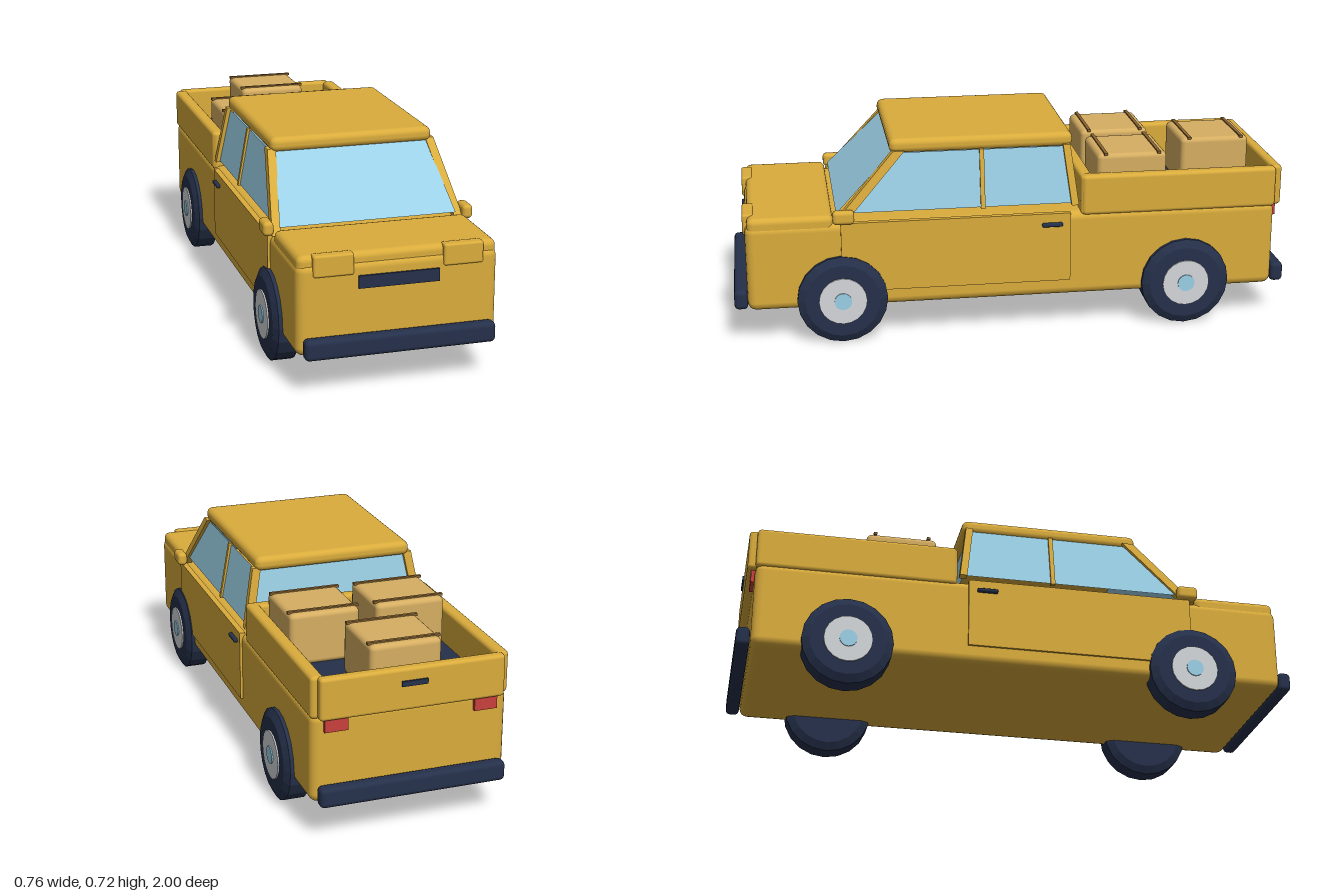
import * as THREE from 'three';
import { toCreasedNormals } from 'three/addons/utils/BufferGeometryUtils.js';
import { RoundedBoxGeometry } from 'three/addons/geometries/RoundedBoxGeometry.js';

const mat = (name, color) => {
  const m = new THREE.MeshStandardMaterial({ color });
  m.name = name;
  return m;
};

export function createModel() {
  const truck = new THREE.Group();
  truck.name = 'pickupTruck';
  const paint = mat('goldPaint', 0xdaac3c);
  const navy = mat('navyTrim', 0x25304a);
  const glass = mat('paleBlueGlass', 0x9bd0e6);
  glass.side = THREE.DoubleSide;
  const hubCol = mat('lightGreyHub', 0xd4d7da);
  const tan = mat('tanCrate', 0xd6ae62);
  const brown = mat('brownStrap', 0x8a6430);
  const red = mat('redLamp', 0xc8403c);

  const add = (name, geo, m, parent = truck) => {
    const mesh = new THREE.Mesh(geo, m);
    mesh.name = name;
    parent.add(mesh);
    return mesh;
  };
  // Box given by its limits, rounded when r > 0
  const box = (name, [x0, x1], [y0, y1], [z0, z1], m, r = 0, parent = truck) => {
    const s = [x1 - x0, y1 - y0, z1 - z0];
    const geo = r ? new RoundedBoxGeometry(...s, 2, r) : new THREE.BoxGeometry(...s);
    geo.translate((x0 + x1) / 2, (y0 + y1) / 2, (z0 + z1) / 2);
    return add(name, geo, m, parent);
  };
  const sideBox = (name, s, x, y, z, m, r) =>
    box(name, s > 0 ? x : [-x[1], -x[0]], y, z, m, r);
  // Leaning post with level ends, from a (bottom) to b (top)
  const post = (name, a, b, wx, wz) => {
    const h = b[1] - a[1];
    const geo = new THREE.BoxGeometry(wx, h, wz);
    const p = geo.attributes.position;
    for (let i = 0; i < p.count; i++) {
      const t = p.getY(i) / h + 0.5;
      p.setXYZ(i, p.getX(i) + a[0] + (b[0] - a[0]) * t, a[1] + h * t, p.getZ(i) + a[2] + (b[2] - a[2]) * t);
    }
    geo.computeVertexNormals();
    add(name, geo, paint);
  };
  // Flat four-cornered pane
  const pane = (name, a, b, c, d) => {
    const geo = new THREE.BufferGeometry();
    geo.setAttribute('position', new THREE.Float32BufferAttribute([...a, ...b, ...c, ...d], 3));
    geo.setIndex([0, 1, 2, 0, 2, 3]);
    geo.computeVertexNormals();
    add(name, geo, glass);
  };

  // Lower body, hood and roof
  box('lowerBody', [-0.342, 0.342], [0.125, 0.44], [-0.95, 0.953], paint, 0.03);
  box('hood', [-0.338, 0.338], [0.395, 0.466], [0.645, 0.945], paint, 0.022);
  box('roof', [-0.29, 0.29], [0.668, 0.72], [-0.212, 0.44], paint, 0.022);

  // Front and rear trim
  box('grille', [-0.137, 0.137], [0.347, 0.39], [0.945, 0.961], navy);
  box('frontBumper', [-0.325, 0.325], [0.127, 0.197], [0.952, 1], navy, 0.016);
  box('rearBumper', [-0.325, 0.325], [0.127, 0.197], [-1, -0.952], navy, 0.016);

  // Windscreen and rear window
  pane('windscreen', [-0.312, 0.465, 0.633], [0.312, 0.465, 0.633], [0.272, 0.672, 0.428], [-0.272, 0.672, 0.428]);
  pane('rearWindow', [0.312, 0.465, -0.215], [-0.312, 0.465, -0.215], [-0.272, 0.672, -0.187], [0.272, 0.672, -0.187]);

  // Load bed
  box('bedFloor', [-0.3, 0.3], [0.435, 0.446], [-0.95, -0.27], navy);
  box('bedFrontWall', [-0.338, 0.338], [0.425, 0.57], [-0.28, -0.236], paint, 0.012);
  box('tailgate', [-0.32, 0.32], [0.425, 0.572], [-0.977, -0.938], paint, 0.012);
  box('tailgateHandle', [-0.045, 0.045], [0.512, 0.53], [-0.984, -0.97], navy);

  // Parts mirrored left and right
  for (const s of [1, -1]) {
    const side = s > 0 ? 'left' : 'right';
    sideBox(side + 'BedWall', s, [0.296, 0.343], [0.425, 0.572], [-0.95, -0.24], paint, 0.014);
    sideBox(side + 'Door', s, [0.33, 0.351], [0.187, 0.441], [-0.197, 0.62], paint);
    sideBox(side + 'DoorHandle', s, [0.345, 0.364], [0.394, 0.408], [-0.167, -0.093], navy, 0.005);
    sideBox(side + 'Mirror', s, [0.334, 0.371], [0.441, 0.49], [0.572, 0.648], paint, 0.014);
    sideBox(side + 'Headlight', s, [0.152, 0.288], [0.395, 0.469], [0.92, 0.96], paint, 0.008);
    sideBox(side + 'TailLight', s, [0.22, 0.3], [0.38, 0.43], [-0.963, -0.94], red);
    post(side + 'FrontPillar', [s * 0.325, 0.44, 0.622], [s * 0.285, 0.68, 0.408], 0.03, 0.04);
    post(side + 'MiddlePillar', [s * 0.325, 0.465, 0.115], [s * 0.287, 0.675, 0.115], 0.016, 0.016);
    post(side + 'RearPillar', [s * 0.325, 0.465, -0.215], [s * 0.285, 0.68, -0.188], 0.03, 0.026);
    pane(side + 'SideWindow', [s * 0.325, 0.47, 0.6], [s * 0.325, 0.47, -0.21],
      [s * 0.287, 0.672, -0.18], [s * 0.287, 0.672, 0.415]);
  }

  // Wheels: faceted tyre with chamfered shoulders, hub disc and cap
  const tyreProfile = [[0, -0.05], [0.132, -0.05], [0.16, -0.035], [0.16, 0.035], [0.132, 0.05], [0, 0.05]]
    .map(([r, y]) => new THREE.Vector2(r, y));
  const tyreGeo = toCreasedNormals(new THREE.LatheGeometry(tyreProfile, 20), 0.1);
  const hubGeo = new THREE.CylinderGeometry(0.085, 0.085, 0.02, 20);
  const capGeo = new THREE.CylinderGeometry(0.031, 0.031, 0.02, 16);
  for (const s of [1, -1]) {
    for (const [end, z] of [['front', 0.62], ['rear', -0.62]]) {
      const wheel = new THREE.Group();
      wheel.name = end + (s > 0 ? 'Left' : 'Right') + 'Wheel';
      add('tyre', tyreGeo, navy, wheel);
      add('hub', hubGeo, hubCol, wheel).position.y = 0.045;
      add('hubCap', capGeo, glass, wheel).position.y = 0.049;
      wheel.position.set(s * 0.32, 0.16, z);
      wheel.rotation.z = -s * Math.PI / 2;
      truck.add(wheel);
    }
  }

  // Cargo crates with two thin straps each
  for (const [x, z] of [[-0.155, -0.432], [0.155, -0.432], [0, -0.778]]) {
    const crate = new THREE.Group();
    crate.name = 'crate';
    box('crateBody', [-0.125, 0.125], [0.444, 0.63], [-0.127, 0.127], tan, 0.018, crate);
    for (const dz of [-0.097, 0.097]) {
      box('strap', [-0.127, 0.127], [0.626, 0.635], [dz - 0.006, dz + 0.006], brown, 0, crate);
    }
    crate.position.set(x, 0, z);
    truck.add(crate);
  }
  return truck;
}
